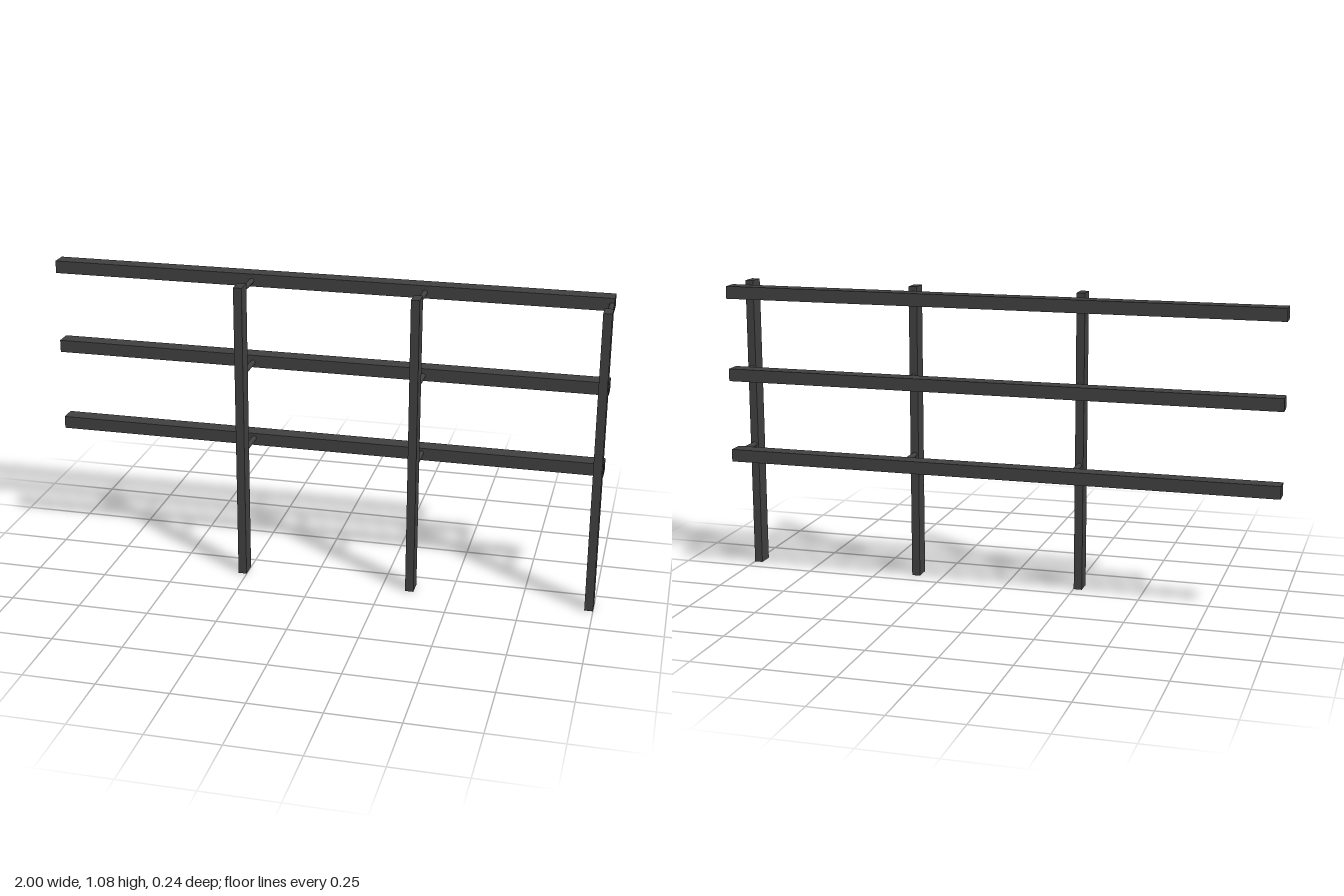
import * as THREE from 'three';

export function createModel() {
  const group = new THREE.Group();
  const material = new THREE.MeshStandardMaterial({ color: 0x404040 });

  const add = (name, geometry, x, y, z) => {
    const mesh = new THREE.Mesh(geometry, material);
    mesh.name = name;
    mesh.position.set(x, y, z);
    group.add(mesh);
    return mesh;
  };

  const postXs = [-0.266, 0.351, 0.985];
  const postHeight = 1.078;
  const railYs = [0.457, 0.756, 1.056];
  const rodYs = [0.461, 0.752, 1.054];

  // Upright posts at the front
  const postGeometry = new THREE.BoxGeometry(0.03, postHeight, 0.06);
  for (const x of postXs) add('post', postGeometry, x, postHeight / 2, 0.09);

  // Long horizontal rails at the back
  const railGeometry = new THREE.BoxGeometry(1.995, 0.045, 0.06);
  for (const y of railYs) add('rail', railGeometry, -0.0025, y, -0.088);

  // Round spacer rods joining each post to each rail
  const rodGeometry = new THREE.CylinderGeometry(0.009, 0.009, 0.124, 24);
  rodGeometry.rotateX(Math.PI / 2);
  for (const x of postXs)
    for (const y of rodYs) add('spacerRod', rodGeometry, x, y, 0.001);

  return group;
}
